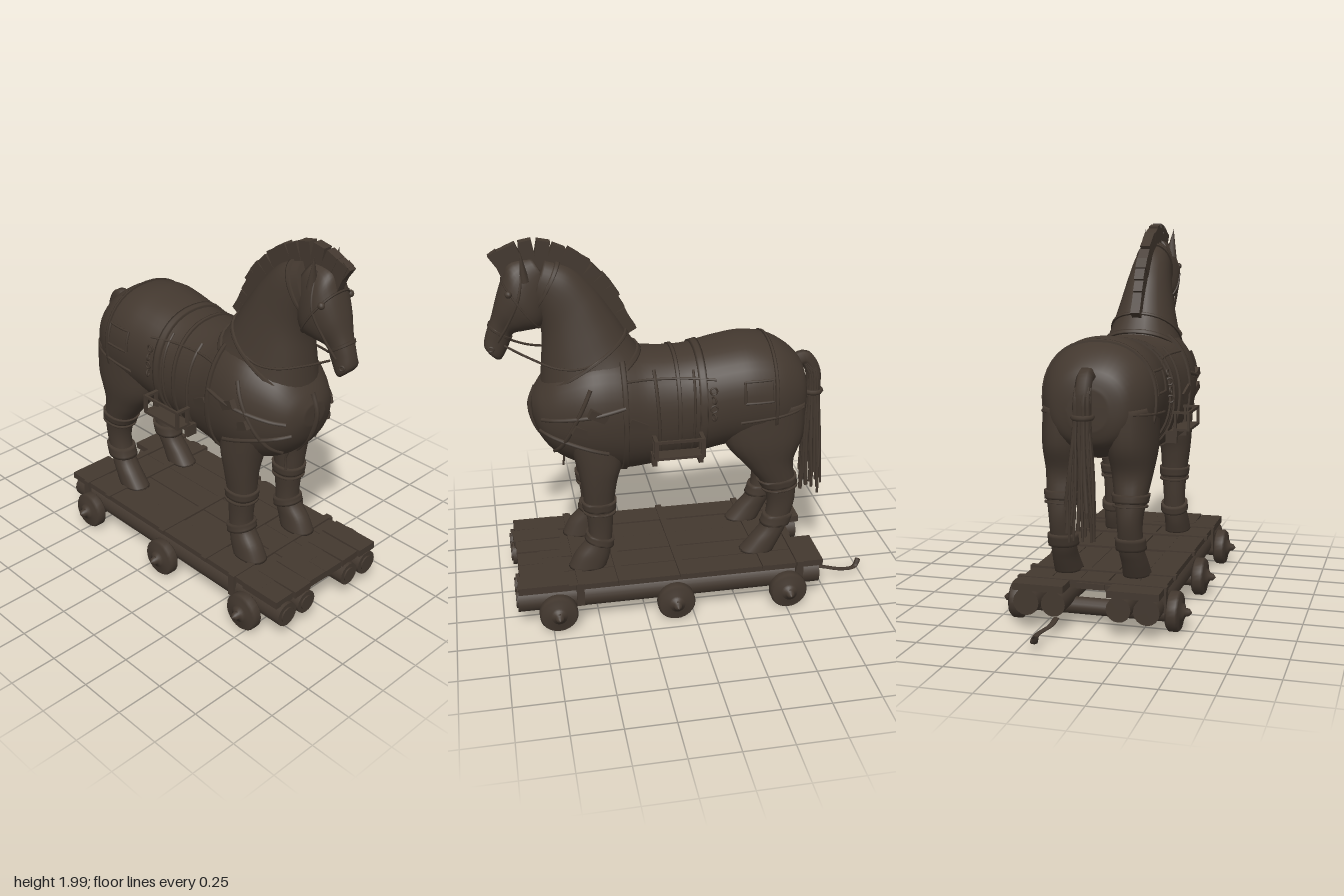
import * as THREE from 'three';

const wood = new THREE.MeshStandardMaterial({ color: 0x43382f, side: THREE.DoubleSide });
wood.name = 'dark weathered wood';

let seed = 7;
const rnd = (a, b) => {
  seed = (seed * 16807) % 2147483647;
  return a + (b - a) * (seed / 2147483647);
};
const V = (x, y, z) => new THREE.Vector3(x, y, z);

// Cross-sections: [zTop, yTop, zBottom, yBottom, halfWidth, xCentre]
const BODY = [
  [-0.655, 1.0, 1.2, 0.1], [-0.62, 0.92, 1.3, 0.2], [-0.5, 0.85, 1.395, 0.275], [-0.35, 0.85, 1.43, 0.295],
  [-0.2, 0.84, 1.415, 0.285], [0, 0.79, 1.38, 0.262], [0.2, 0.755, 1.39, 0.268], [0.35, 0.75, 1.43, 0.29],
  [0.5, 0.78, 1.42, 0.288], [0.65, 0.85, 1.34, 0.23], [0.74, 0.95, 1.24, 0.16], [0.78, 1.06, 1.17, 0.07],
].map(([z, lo, hi, w]) => [z, hi, z, lo, w, 0]);
const NECK = [
  [0.2, 1.37, 0.75, 1.02, 0.25, 0], [0.27, 1.47, 0.735, 1.18, 0.2, 0], [0.35, 1.6, 0.72, 1.35, 0.16, 0],
  [0.44, 1.73, 0.71, 1.5, 0.128, 0], [0.55, 1.84, 0.73, 1.6, 0.107, 0], [0.68, 1.89, 0.77, 1.65, 0.09, 0],
];
const HEAD = [
  [0.74, 1.9, 0.65, 1.74, 0.06, 0], [0.85, 1.88, 0.675, 1.61, 0.1, 0], [0.89, 1.8, 0.715, 1.545, 0.115, 0],
  [0.925, 1.7, 0.79, 1.53, 0.097, 0], [0.955, 1.6, 0.85, 1.515, 0.066, 0], [0.985, 1.52, 0.875, 1.455, 0.055, 0],
  [0.998, 1.46, 0.91, 1.39, 0.052, 0], [0.985, 1.43, 0.93, 1.38, 0.036, 0],
];
const FRONT_LEG = [
  [0.66, 1.1, 0.34, 1.08, 0.1, 0.16], [0.59, 0.88, 0.34, 0.86, 0.1, 0.17], [0.56, 0.74, 0.37, 0.74, 0.083, 0.18],
  [0.545, 0.6, 0.39, 0.6, 0.07, 0.175], [0.53, 0.48, 0.4, 0.46, 0.06, 0.175], [0.535, 0.4, 0.41, 0.36, 0.062, 0.175],
  [0.6, 0.32, 0.42, 0.3, 0.065, 0.18], [0.64, 0.24, 0.44, 0.24, 0.07, 0.18],
];
const HIND_LEG = [
  [-0.17, 1.12, -0.63, 1.1, 0.12, 0.16], [-0.2, 0.9, -0.625, 0.92, 0.12, 0.165], [-0.31, 0.76, -0.575, 0.78, 0.1, 0.17],
  [-0.405, 0.64, -0.585, 0.66, 0.078, 0.175], [-0.44, 0.52, -0.59, 0.54, 0.062, 0.175],
  [-0.42, 0.4, -0.555, 0.4, 0.062, 0.175], [-0.35, 0.31, -0.52, 0.32, 0.065, 0.18], [-0.29, 0.24, -0.48, 0.24, 0.07, 0.18],
];

// Smooth section at fractional index t
function sectionAt(list, t) {
  const n = list.length - 1, i = Math.min(Math.floor(t), n - 1), f = t - i;
  const at = (k) => list[Math.max(0, Math.min(n, k))];
  return list[0].map((_, c) => {
    const [a, b, d, e] = [at(i - 1)[c], at(i)[c], at(i + 1)[c], at(i + 2)[c]];
    return b + 0.5 * f * (d - a + f * (2 * a - 5 * b + 4 * d - e + f * (3 * (b - d) + e - a)));
  });
}

const EXP = 0.9;
const bend = (v) => Math.sign(v) * Math.abs(v) ** EXP;

// Closed loft through part of a section list, optionally inflated into a band
function loft(list, from = 0, to = list.length - 1, grow = 0, side = 1, rings = 40, sides = 32) {
  const pos = [], idx = [];
  for (let r = 0; r <= rings; r++) {
    const [zt, yt, zb, yb, w, x] = sectionAt(list, from + ((to - from) * r) / rings);
    const h = Math.hypot(zt - zb, yt - yb) / 2, k = (h + grow) / h / 2;
    for (let s = 0; s < sides; s++) {
      const a = (s / sides) * Math.PI * 2, u = bend(Math.sin(a)) * k;
      pos.push(x * side + bend(Math.cos(a)) * (w + grow), (yt + yb) / 2 + u * (yt - yb), (zt + zb) / 2 + u * (zt - zb));
    }
  }
  for (let r = 0; r < rings; r++) for (let s = 0; s < sides; s++) {
    const a = r * sides + s, b = r * sides + ((s + 1) % sides);
    idx.push(a, b, b + sides, a, b + sides, a + sides);
  }
  const last = rings * sides;
  for (let s = 1; s < sides - 1; s++) idx.push(0, s + 1, s, last, last + s, last + s + 1);
  const g = new THREE.BufferGeometry();
  g.setAttribute('position', new THREE.Float32BufferAttribute(pos, 3));
  g.setIndex(idx);
  g.computeVertexNormals();
  return g;
}

// Point on the barrel's flank for given z and y
function flank(z, y, side, lift = 0.004) {
  let lo = 0, hi = BODY.length - 1;
  for (let i = 0; i < 24; i++) {
    const m = (lo + hi) / 2;
    if (sectionAt(BODY, m)[0] < z) lo = m; else hi = m;
  }
  const [, yt, , yb, w] = sectionAt(BODY, lo);
  const s = Math.min(1, Math.abs((y - (yt + yb) / 2) / ((yt - yb) / 2))) ** (1 / EXP);
  return V(side * (w * Math.sqrt(1 - s * s) ** EXP + lift), y, z);
}

export function createModel() {
  const root = new THREE.Group();
  root.name = 'woodenHorseOnCart';
  const add = (name, geo, x = 0, y = 0, z = 0, rx = 0, ry = 0, rz = 0) => {
    const m = new THREE.Mesh(geo, wood);
    m.name = name;
    m.position.set(x, y, z);
    m.rotation.set(rx, ry, rz);
    root.add(m);
    return m;
  };
  const box = (name, w, h, d, ...at) => add(name, new THREE.BoxGeometry(w, h, d), ...at);
  const tube = (name, pts, r, seg = 16) =>
    add(name, new THREE.TubeGeometry(new THREE.CatmullRomCurve3(pts), seg, r, 6));

  // Horse masses
  add('body', loft(BODY, 0, BODY.length - 1, 0, 1, 60, 40));
  add('neck', loft(NECK));
  add('head', loft(HEAD));

  // Straps around barrel, neck and head
  for (const [a, b] of [[2.3, 2.42], [4.55, 4.75], [5.2, 5.3], [6.75, 6.95]]) add('bodyStrap', loft(BODY, a, b, 0.009, 1, 4, 40));
  for (const [a, b] of [[0.35, 0.55], [1.2, 1.3], [4.4, 4.55]]) add('neckBand', loft(NECK, a, b, 0.009, 1, 4));
  for (const [a, b] of [[2, 2.12], [4.3, 4.5]]) add('bridleBand', loft(HEAD, a, b, 0.006, 1, 4));

  // Legs with wrapped bands
  for (const side of [-1, 1]) {
    for (const [name, leg] of [['frontLeg', FRONT_LEG], ['hindLeg', HIND_LEG]]) {
      add(name, loft(leg, 0, leg.length - 1, 0, side, 36, 20));
      for (const [a, b, g] of [[2.8, 3.15, 0.012], [3.25, 3.32, 0.014], [4.55, 5.05, 0.014]])
        add(name + 'Band', loft(leg, a, b, g, side, 4, 20));
    }
  }

  // Ears, eyes, nostrils and reins
  for (const s of [-1, 1]) {
    const ear = add('ear', new THREE.ConeGeometry(0.034, 0.16, 10), s * 0.078, 1.88, 0.79, 0.1, 0, -s * 0.08);
    ear.scale.z = 0.7;
    add('eye', new THREE.SphereGeometry(0.018, 10, 8), s * 0.1, 1.745, 0.865);
    add('nostril', new THREE.TorusGeometry(0.012, 0.005, 6, 12), s * 0.05, 1.45, 0.965, 0, s * 1.3, 0);
    tube('rein', [V(s * 0.06, 1.47, 0.9), V(s * 0.1, 1.41, 0.78), V(s * 0.165, 1.37, 0.65), V(s * 0.185, 1.37, 0.52), V(s * 0.15, 1.45, 0.36)], 0.006, 24);
    tube('cheekStrap', [V(s * 0.06, 1.88, 0.79), V(s * 0.112, 1.72, 0.82), V(s * 0.085, 1.58, 0.88), V(s * 0.058, 1.49, 0.93)], 0.007);
  }

  // Mane of upright wooden blocks
  const mane = new THREE.CatmullRomCurve3([
    V(0, 1.87, 0.88), V(0, 1.905, 0.8), V(0, 1.915, 0.72), V(0, 1.885, 0.62), V(0, 1.82, 0.51),
    V(0, 1.72, 0.42), V(0, 1.61, 0.36), V(0, 1.5, 0.305),
  ]);
  for (let i = 0; i < 13; i++) {
    const p = mane.getPointAt(i / 12), t = mane.getTangentAt(i / 12);
    box('maneBlock', rnd(0.045, 0.06), rnd(0.125, 0.15), 0.066, 0, p.y, p.z, Math.atan2(-t.y, t.z) + Math.PI + rnd(-0.1, 0.1));
  }
  box('forelock', 0.04, 0.11, 0.05, 0, 1.885, 0.9, 0.6);

  // Side seams, hatch panels, breast straps and side racks
  for (const s of [-1, 1]) {
    const seam = (name, a, b, r = 0.007) => {
      const pts = [];
      for (let i = 0; i <= 8; i++) pts.push(flank(a[0] + ((b[0] - a[0]) * i) / 8, a[1] + ((b[1] - a[1]) * i) / 8, s));
      tube(name, pts, r);
    };
    seam('flankSeam', [0.32, 1.3], [-0.14, 1.28]);
    seam('flankSeam', [0.17, 1.33], [0.15, 0.9], 0.009);
    seam('flankSeam', [-0.03, 1.32], [-0.02, 0.88]);
    seam('hatchEdge', [-0.28, 1.27], [-0.43, 1.27]);
    seam('hatchEdge', [-0.28, 1.16], [-0.43, 1.16]);
    seam('hatchEdge', [-0.28, 1.27], [-0.28, 1.16]);
    seam('hatchEdge', [-0.43, 1.27], [-0.43, 1.16]);
    seam('rumpSeam', [-0.26, 1.05], [-0.61, 1.08]);
    seam('breastStrap', [0.74, 1.1], [0.33, 1.18], 0.011);
    seam('breastStrap', [0.75, 1.03], [0.42, 0.93], 0.011);
    seam('breastStrap', [0.5, 1.28], [0.68, 0.9], 0.011);
    for (const [z, y] of [[0.47, 1.15], [0.55, 1.06], [0.27, 1.08]]) {
      const p = flank(z, y, s, -0.005);
      box('patchPlank', 0.03, 0.045, 0.1, p.x, p.y, p.z, -0.5, s * 0.15, 0);
    }
    // hanging chain
    for (let i = 0; i < 4; i++) {
      const p = flank(-0.12, 1.23 - i * 0.045, s, 0.01);
      add('chainLink', new THREE.TorusGeometry(0.018, 0.005, 6, 12), p.x, p.y, p.z, 0, i % 2 ? 0.4 : Math.PI / 2, 0);
    }
    // folded rack made of square frames
    for (const z of [-0.05, 0.19]) {
      for (const x of [0.295, 0.365]) box('rackPost', 0.012, 0.1, 0.02, s * x, 0.97, z);
      for (const y of [0.925, 1.015]) box('rackBar', 0.085, 0.012, 0.02, s * 0.327, y, z);
      box('rackBracket', 0.06, 0.06, 0.025, s * 0.275, 0.885, z);
    }
    for (const y of [0.925, 1.015]) box('rackRail', 0.012, 0.014, 0.25, s * 0.365, y, 0.07);
    box('rackShelf', 0.045, 0.03, 0.27, s * 0.285, 0.905, 0.07);
    box('rackFloor', 0.07, 0.01, 0.24, s * 0.327, 0.925, 0.07);
  }
  tube('breastKeel', [V(0, 1.22, 0.757), V(0, 1.12, 0.79), V(0, 1.0, 0.762), V(0, 0.87, 0.672)], 0.014);
  tube('chestCord', [V(-0.03, 0.87, 0.65), V(-0.03, 0.8, 0.625), V(-0.03, 0.74, 0.63)], 0.006);

  // Tail of loose strands
  tube('tailDock', [V(0, 1.25, -0.61), V(0, 1.27, -0.67), V(0, 1.2, -0.715), V(0, 1.07, -0.72)], 0.042, 20);
  add('tailBinding', new THREE.TorusGeometry(0.045, 0.014, 6, 16), 0, 1.08, -0.72, Math.PI / 2);
  for (let i = 0; i < 32; i++) {
    const a = rnd(0, 6.28), c = Math.cos(a), d = Math.sin(a), k = rnd(0.03, 0.09);
    tube('tailStrand', [
      V(c * 0.015, 1.28, -0.64 + d * 0.01), V(c * 0.035, 1.2, -0.715 + d * 0.03), V(c * 0.038, 1.05, -0.725 + d * 0.035),
      V(c * k * 0.8, 0.8, -0.73 + d * 0.05), V(c * k + rnd(-0.01, 0.01), rnd(0.48, 0.66), -0.735 + d * rnd(0.03, 0.07)),
    ], rnd(0.006, 0.011), 14);
  }

  // Cart deck: lengthwise planks over logs
  for (let i = 0; i < 5; i++)
    box('deckPlank', 0.143, 0.03, 1.38 + rnd(-0.02, 0.02), -0.296 + i * 0.148, 0.223 + rnd(-0.004, 0.004), 0.09);
  for (const s of [-1, 1]) {
    box('deckEndBoard', 0.26, 0.035, 0.12, s * 0.24, 0.225, -0.65);
    for (const [x, r] of [[0.305, 0.066], [0.165, 0.062]]) {
      add('deckLog', new THREE.CylinderGeometry(r, r, 1.62, 16), s * x, 0.145, 0.115, Math.PI / 2);
      add('logEnd', new THREE.CylinderGeometry(r * 0.65, r * 0.65, 0.01, 12), s * x, 0.145, 0.928, Math.PI / 2);
    }
  }
  for (let i = 0; i < 6; i++)
    box('frontBoard', 0.118, 0.04, 0.25 + rnd(-0.02, 0.02), -0.31 + i * 0.124, 0.223 + rnd(-0.006, 0.006), 0.79, 0, rnd(-0.03, 0.03), 0);
  for (const z of [0.6, 0.39, 0.06, -0.39, -0.58]) box('deckBatten', 0.765, 0.022, 0.035, 0, 0.236, z, 0, rnd(-0.02, 0.02), 0);
  for (const s of [-1, 1]) for (const z of [0.6, -0.58]) box('cartLashing', 0.02, 0.13, 0.04, s * 0.37, 0.18, z);

  // Axles and wheels with pointed hubs
  for (const z of [0.72, 0.1, -0.51]) {
    add('axle', new THREE.CylinderGeometry(0.043, 0.043, 0.76, 14), 0, 0.09, z, 0, 0, Math.PI / 2);
    for (const s of [-1, 1]) {
      const profile = [[0, -0.035], [0.085, -0.035], [0.1, -0.022], [0.1, 0.018], [0.09, 0.03], [0.045, 0.03], [0.04, 0.045], [0.022, 0.05], [0.018, 0.07], [0, 0.085]];
      const g = new THREE.LatheGeometry(profile.map(([r, y]) => new THREE.Vector2(r, y)), 24);
      add('wheel', g, s * 0.405, 0.102, z, 0, 0, -s * Math.PI / 2);
      box('axlePin', 0.012, 0.05, 0.012, s * 0.452, 0.102, z);
    }
  }

  // Towing strap with upturned end
  const pull = new THREE.CatmullRomCurve3([V(0.16, 0.065, -0.66), V(0.155, 0.06, -0.76), V(0.185, 0.05, -0.87), V(0.175, 0.043, -0.95), V(0.16, 0.05, -0.975), V(0.15, 0.08, -0.99)]);
  const strap = new THREE.TubeGeometry(pull, 30, 0.016, 8);
  const sp = strap.attributes.position;
  for (let i = 0; i < sp.count; i++) {
    const c = pull.getPointAt(Math.floor(i / 9) / 30);
    sp.setY(i, c.y + (sp.getY(i) - c.y) * 0.35);
  }
  strap.computeVertexNormals();
  add('towStrap', strap);

  return root;
}
